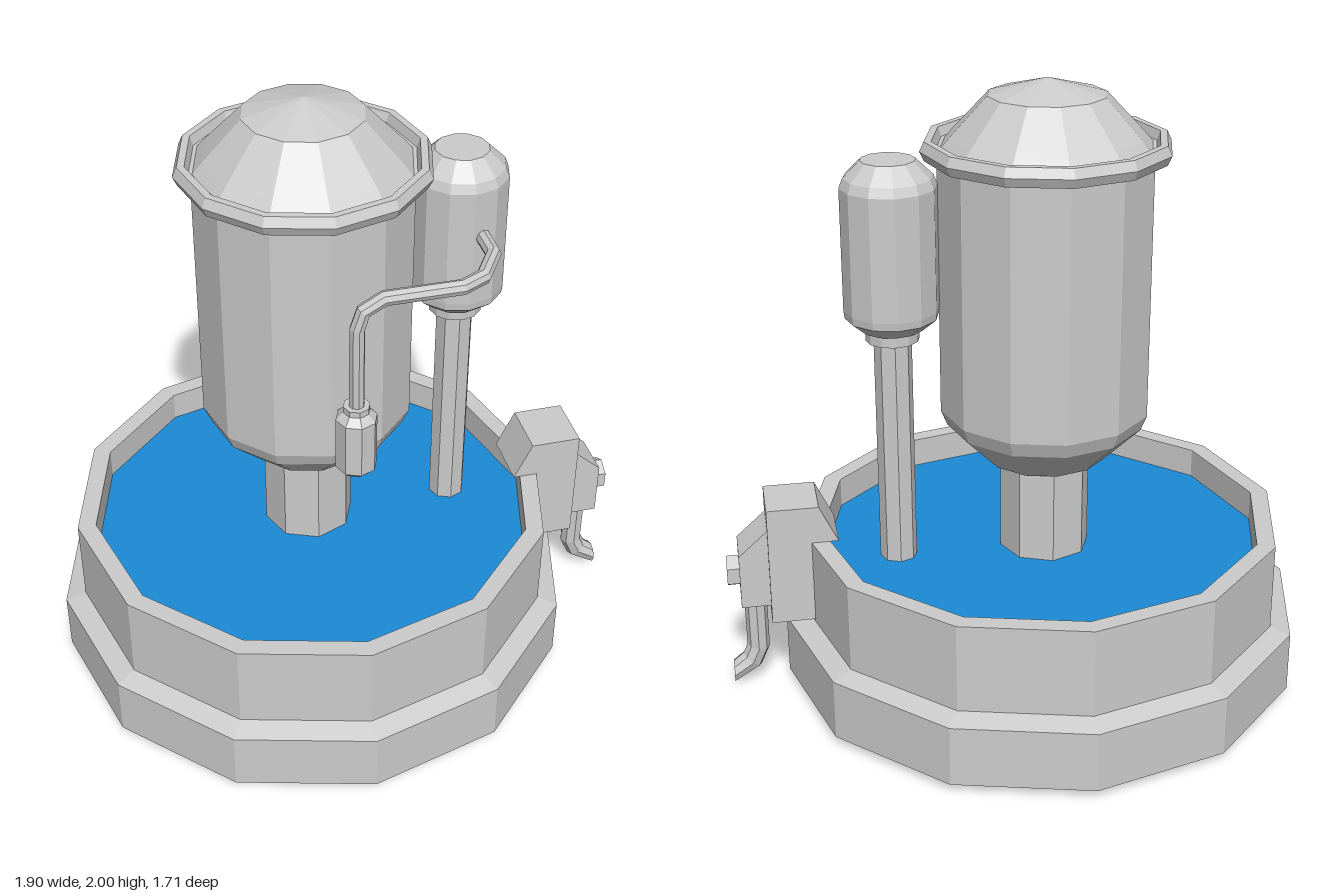
import * as THREE from 'three';

const grey = new THREE.MeshStandardMaterial({ color: 0xcccccc, flatShading: true });
const blue = new THREE.MeshStandardMaterial({ color: 0x1c8bd5 });

function add(parent, name, geometry, x = 0, y = 0, z = 0, material = grey) {
  const mesh = new THREE.Mesh(geometry, material);
  mesh.name = name;
  mesh.position.set(x, y, z);
  parent.add(mesh);
  return mesh;
}

// Turned part from [radius, height] pairs, listed from the bottom up the outside
const lathe = (profile, sides = 12) =>
  new THREE.LatheGeometry(profile.map(([r, y]) => new THREE.Vector2(r, y)), sides);

// Block cut from a side profile in x/y, centred on z = 0
function slab(points, depth) {
  const shape = new THREE.Shape(points.map(([x, y]) => new THREE.Vector2(x, y)));
  return new THREE.ExtrudeGeometry(shape, { depth, bevelEnabled: false }).translate(0, 0, -depth / 2);
}

// Polyline path with one tube ring at each corner
class CornerPath extends THREE.Curve {
  constructor(points, endTangent) {
    super();
    this.points = points.map((p) => new THREE.Vector3(...p));
    this.endTangent = endTangent;
  }
  getPointAt(t) {
    return this.points[Math.round(t * (this.points.length - 1))].clone();
  }
  getTangentAt(t) {
    const p = this.points, last = p.length - 1, i = Math.round(t * last);
    if (i === last && this.endTangent) return this.endTangent.clone();
    const sum = new THREE.Vector3();
    if (i > 0) sum.add(p[i].clone().sub(p[i - 1]).normalize());
    if (i < last) sum.add(p[i + 1].clone().sub(p[i]).normalize());
    return sum.normalize();
  }
}
const pipe = (points, radius, endTangent) =>
  new THREE.TubeGeometry(new CornerPath(points, endTangent), points.length - 1, radius, 8, false);

export function createModel() {
  const model = new THREE.Group();
  model.name = 'waterTankFountain';
  const cx = -0.095, tankZ = -0.02, tapZ = 0.01, water = 0.44;

  // Stepped basin with an open top, and its water
  add(model, 'basin', lathe([
    [0, 0.03], [0.857, 0.03], [0.857, 0.23], [0.79, 0.25],
    [0.79, 0.54], [0.73, 0.54], [0.73, water - 0.02],
  ]), cx);
  const surface = new THREE.CircleGeometry(0.73, 12).rotateX(-Math.PI / 2);
  add(model, 'water', surface, cx, water, 0, blue);

  // Main tank on its pedestal
  const tank = new THREE.Group();
  tank.name = 'mainTank';
  tank.position.set(-0.103, 0, tankZ);
  model.add(tank);
  add(tank, 'pedestal', new THREE.CylinderGeometry(0.147, 0.147, 0.4, 8), 0, 0.6);
  add(tank, 'tankBody', lathe([
    [0, 0.755], [0.17, 0.755], [0.2, 0.77], [0.32, 0.89], [0.34, 0.94], [0.34, 1.78],
  ]));
  add(tank, 'flange', lathe([
    [0.33, 1.76], [0.378, 1.76], [0.392, 1.79], [0.378, 1.82], [0.355, 1.82], [0.345, 1.79], [0.32, 1.79],
  ]));
  add(tank, 'dome', lathe([[0.333, 1.79], [0.303, 1.825], [0.185, 1.95], [0, 2.0]]));

  // Small side tank on a standpipe
  const side = new THREE.Group();
  side.name = 'sideTank';
  side.position.set(0.385, 0, tankZ);
  model.add(side);
  add(side, 'standpipe', new THREE.CylinderGeometry(0.06, 0.06, 0.81, 8), 0, 0.815);
  add(side, 'sideTankBody', lathe([
    [0, 1.197], [0.085, 1.197], [0.085, 1.232], [0.1, 1.235], [0.147, 1.275], [0.15, 1.3],
    [0.15, 1.69], [0.138, 1.72], [0.085, 1.772], [0, 1.772],
  ]));

  // Bent feed pipe with a hanging bulb
  add(model, 'feedPipe', pipe([
    [0.417, 1.535, 0.05], [0.417, 1.535, 0.22], [0.35, 1.535, 0.33], [0.275, 1.535, 0.368],
    [0.04, 1.535, 0.368], [-0.022, 1.5, 0.368], [-0.04, 1.44, 0.368], [-0.04, 1.15, 0.368],
  ], 0.024));
  add(model, 'bulb', lathe([
    [0, 0.92], [0.045, 0.92], [0.065, 0.94], [0.065, 1.12], [0.042, 1.145], [0.042, 1.165], [0, 1.165],
  ], 8), -0.04, 0, 0.368);

  // Tap block hooked over the rim, with valve, knob and spout
  const tap = new THREE.Group();
  tap.name = 'tap';
  tap.position.z = tapZ;
  model.add(tap);
  add(tap, 'tapBlock', slab([
    [0.585, 0.54], [0.66, 0.54], [0.66, 0.26], [0.812, 0.26], [0.812, 0.665], [0.645, 0.665],
  ], 0.19));
  add(tap, 'valve', slab([[0.81, 0.315], [0.907, 0.315], [0.907, 0.5], [0.81, 0.587]], 0.15));
  const hexagon = new THREE.CylinderGeometry(0.054, 0.054, 0.045, 6).rotateY(Math.PI / 2).rotateZ(Math.PI / 2);
  add(tap, 'knob', hexagon, 0.924, 0.417);
  add(tap, 'spout', pipe([
    [0.86, 0.34, 0], [0.86, 0.13, 0], [0.882, 0.08, 0], [0.945, 0.038, 0],
  ], 0.037, new THREE.Vector3(1, 0, 0)));
  add(tap, 'spoutEnd', new THREE.CircleGeometry(0.037, 8).rotateY(Math.PI / 2), 0.945, 0.038);

  return model;
}
